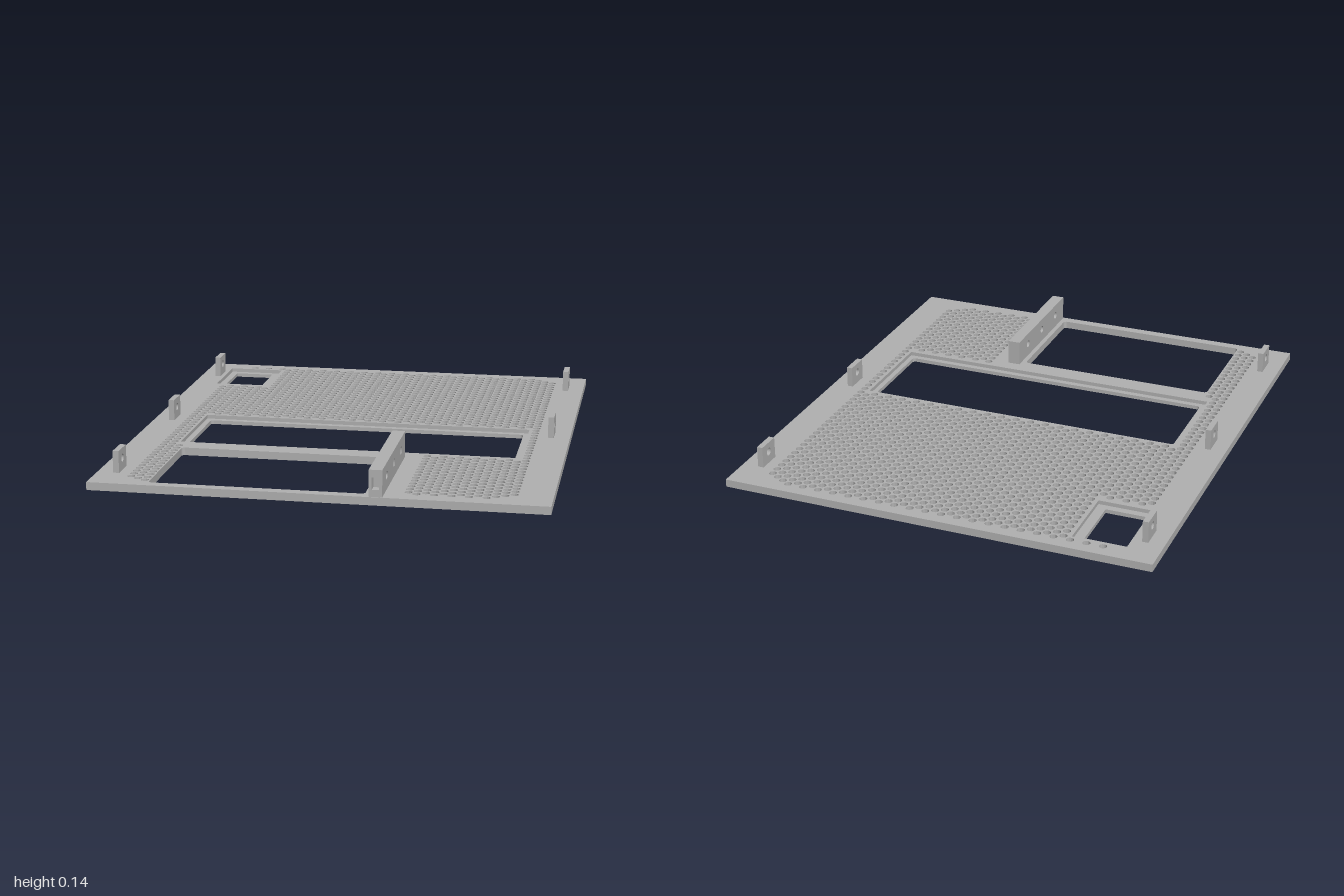
import * as THREE from 'three';

const T = 0.032; // panel thickness
const R = 0.0155; // vent hole radius

// Rectangle outline, corners optionally rounded
function rect(P, x0, y0, x1, y1, r = 0) {
  const p = new P();
  if (r === 0) {
    p.moveTo(x0, y0).lineTo(x1, y0).lineTo(x1, y1).lineTo(x0, y1).closePath();
    return p;
  }
  p.moveTo(x0 + r, y0);
  p.lineTo(x1 - r, y0);
  p.absarc(x1 - r, y0 + r, r, -Math.PI / 2, 0, false);
  p.lineTo(x1, y1 - r);
  p.absarc(x1 - r, y1 - r, r, 0, Math.PI / 2, false);
  p.lineTo(x0 + r, y1);
  p.absarc(x0 + r, y1 - r, r, Math.PI / 2, Math.PI, false);
  p.lineTo(x0, y0 + r);
  p.absarc(x0 + r, y0 + r, r, Math.PI, Math.PI * 1.5, false);
  return p;
}

function circle(x, y, r) {
  const p = new THREE.Path();
  p.absarc(x, y, r, 0, Math.PI * 2, false);
  return p;
}

function extrude(shape, depth, segments = 6) {
  return new THREE.ExtrudeGeometry(shape, { depth, bevelEnabled: false, curveSegments: segments });
}

// Horizontal sheet: outlines are drawn in (x, -z) and rise along y
const sheet = (shape, depth) => extrude(shape, depth).rotateX(-Math.PI / 2);

// Upright plate facing sideways, drilled through along x
function drilledPlate(x0, x1, z0, z1, y1, holeZs, holeY) {
  const s = rect(THREE.Shape, -z1, T, -z0, y1);
  holeZs.forEach((z) => s.holes.push(circle(-z, holeY, 0.016)));
  return extrude(s, x1 - x0, 10).rotateY(Math.PI / 2).translate(x0, 0, 0);
}

// Where the vent pattern is left out
function isVent(x, z) {
  if (Math.abs(x) + Math.abs(z) > 1.64) return false; // clipped corners
  if (x < -0.53 && z > -0.93 && z < -0.59) return false; // small window
  if (x > -0.7 && x < 0.73 && z > -0.075 && z < 0.405) return false; // wide window
  if (x > -0.67 && x < 0.33 && z > 0.3) return false; // front window and bar
  return true;
}

export function createModel() {
  const model = new THREE.Group();
  const grey = new THREE.MeshStandardMaterial({ color: 0xb0b0b0 });
  grey.name = 'grey plastic';
  const add = (name, geometry) => {
    const mesh = new THREE.Mesh(geometry, grey);
    mesh.name = name;
    model.add(mesh);
  };

  // Stepped windows: outer recess and inner opening as x0, z0, x1, z1
  const windows = [
    { name: 'smallWindowLedge', outer: [-0.785, -0.915, -0.545, -0.615], inner: [-0.755, -0.885, -0.585, -0.645], r: 0 },
    { name: 'wideWindowLedge', outer: [-0.687, -0.055, 0.715, 0.38], inner: [-0.663, -0.028, 0.693, 0.355], r: 0.015 },
  ];

  // Panel with windows and a honeycomb grid of round vents
  const panel = rect(THREE.Shape, -0.893, -1, 0.893, 1);
  windows.forEach(({ outer: [x0, z0, x1, z1] }) => panel.holes.push(rect(THREE.Path, x0, -z1, x1, -z0)));
  panel.holes.push(rect(THREE.Path, -0.658, -0.96, 0.188, -0.465, 0.015));
  const pitch = 0.0382;
  for (let k = -2; k <= 43; k++) {
    const x = -0.679 + 0.0331 * k;
    for (let j = 0; j < 50; j++) {
      const z = -0.941 + pitch * (j + (k & 1 ? 0.5 : 0));
      if (z < 0.94 && isVent(x, z)) panel.holes.push(circle(x, -z, R));
    }
  }
  add('ventedPanel', sheet(panel, T));

  // Thin ledges inside the stepped windows
  windows.forEach(({ name, outer: [a, b, c, d], inner: [e, f, g, h], r }) => {
    const s = rect(THREE.Shape, a, -d, c, -b);
    s.holes.push(rect(THREE.Path, e, -h, g, -f, r));
    add(name, sheet(s, T / 2));
  });

  // Mounting tabs along both sides
  [-0.805, 0.005, 0.81].forEach((z) => {
    add('leftEdgeTab', drilledPlate(-0.828, -0.804, z - 0.05, z + 0.05, 0.12, [z], 0.08));
    if (z < 0.5) add('rightEdgeTab', drilledPlate(0.802, 0.826, z - 0.05, z + 0.05, 0.12, [z], 0.08));
  });

  // Drilled bar beside the front window, with a slot in its front end
  add('supportBar', drilledPlate(0.208, 0.26, 0.437, 0.96, 0.138, [0.545, 0.717, 0.89], 0.088));
  const end = rect(THREE.Shape, 0.208, T, 0.26, 0.138);
  end.holes.push(rect(THREE.Path, 0.22, 0.06, 0.247, 0.108));
  add('supportBarEnd', extrude(end, 0.035).translate(0, 0, 0.96));

  return model;
}
